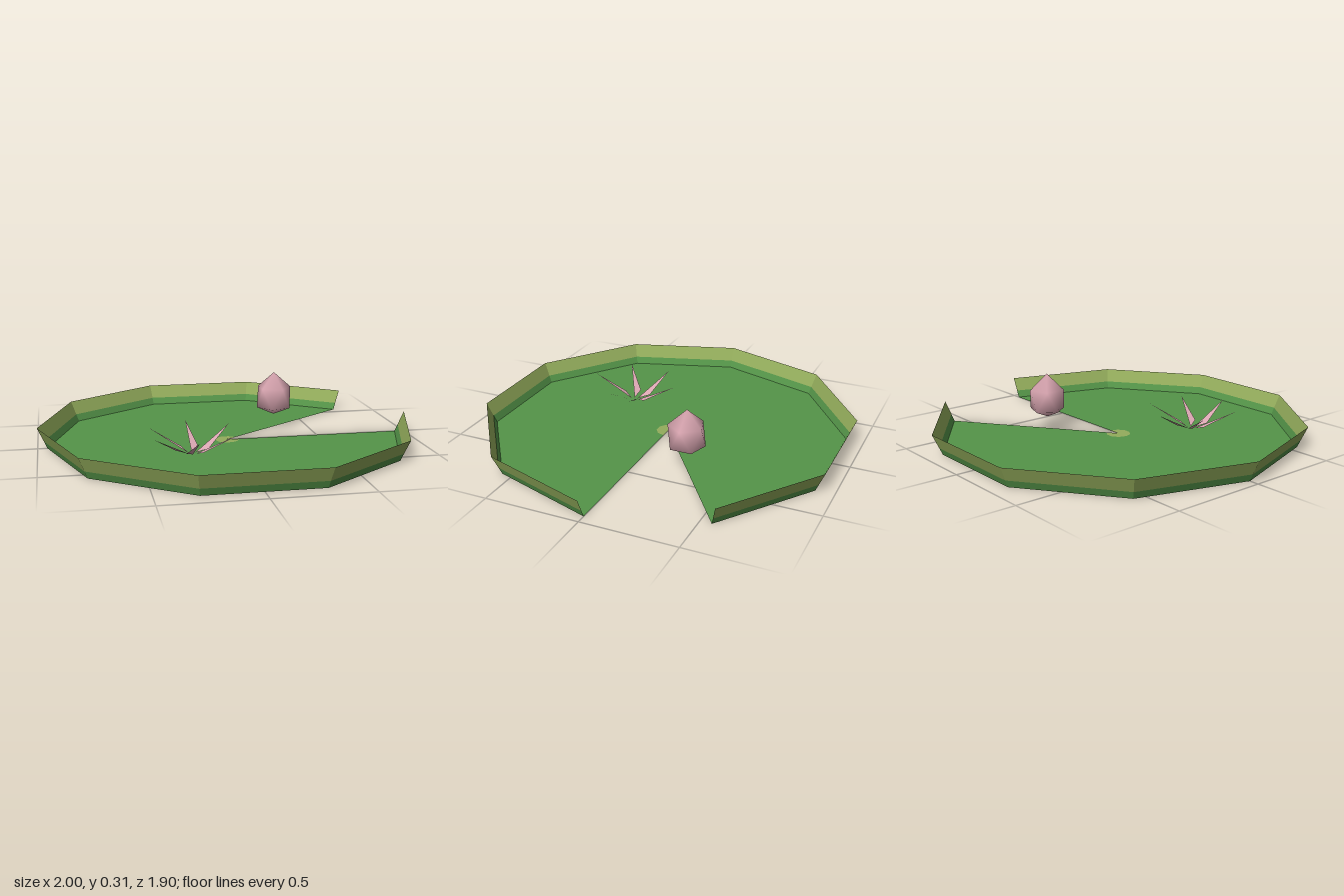
import * as THREE from 'three';

const material = (name, color) =>
  new THREE.MeshStandardMaterial({ name, color, side: THREE.DoubleSide });

const NOTCH = Math.PI / 5; // one of ten sectors is missing
const SWEEP = Math.PI * 2 - NOTCH;

function mesh(name, geometry, mat) {
  const m = new THREE.Mesh(geometry, mat);
  m.name = name;
  return m;
}

// Flared, faceted band of the rim between two heights
function rimBand(y0, r0, y1, r1) {
  const band = new THREE.CylinderGeometry(
    r1, r0, y1 - y0, 9, 1, true, Math.PI / 2 + NOTCH, SWEEP
  ).toNonIndexed();
  band.computeVertexNormals();
  return band.translate(0, (y0 + y1) / 2, 0);
}

// Bud: two offset pentagon rings closed by a tip above and below
function budGeometry() {
  const points = [0, 0.31, 0, 0, 0.07, 0];
  const ring = (y, turn) => {
    for (let i = 0; i < 5; i++) {
      const a = (i * 2 * Math.PI) / 5 + turn;
      points.push(0.096 * Math.cos(a), y, -0.096 * Math.sin(a));
    }
  };
  ring(0.225, 0);
  ring(0.112, Math.PI / 5);
  const index = [];
  for (let i = 0; i < 5; i++) {
    const n = (i + 1) % 5;
    const u = 2 + i, un = 2 + n, l = 7 + i, ln = 7 + n;
    index.push(0, u, un, u, l, un, un, l, ln, 1, ln, l);
  }
  const g = new THREE.BufferGeometry();
  g.setAttribute('position', new THREE.Float32BufferAttribute(points, 3));
  g.setIndex(index);
  g.computeVertexNormals();
  return g;
}

// Petal: one slim rising triangle pointing to -z
function petalGeometry() {
  const g = new THREE.BufferGeometry();
  g.setAttribute('position', new THREE.Float32BufferAttribute(
    [0, 0.025, -0.02, 0.04, 0.045, -0.075, 0, 0.14, -0.243], 3));
  g.computeVertexNormals();
  return g;
}

export function createModel() {
  const green = material('leaf green', 0x559549);
  const olive = material('rim olive', 0x94ad5c);
  const pink = material('blossom pink', 0xd8a5b0);
  const model = new THREE.Group();
  model.name = 'lilyPad';

  // Leaf floor with a pale heart
  const floor = new THREE.RingGeometry(0.065, 0.95, 9, 1, NOTCH, SWEEP).rotateX(-Math.PI / 2);
  const heart = new THREE.CircleGeometry(0.065, 9, NOTCH, SWEEP).rotateX(-Math.PI / 2);
  model.add(mesh('leafFloor', floor, green), mesh('leafHeart', heart, olive));

  // Upturned rim in two colours
  model.add(
    mesh('lowerRim', rimBand(0, 0.95, 0.038, 0.967), green),
    mesh('upperRim', rimBand(0.038, 0.967, 0.11, 1), olive)
  );

  // Bud standing in the notch
  const bud = mesh('bud', budGeometry(), pink);
  bud.position.set(0.314, 0, -0.24);
  model.add(bud);

  // Open flower with six petals
  const flower = new THREE.Group();
  flower.name = 'flower';
  flower.position.set(-0.238, 0, 0.317);
  const petal = petalGeometry();
  for (let i = 0; i < 6; i++) {
    const p = mesh('petal', petal, pink);
    p.rotation.y = (i * Math.PI) / 3;
    flower.add(p);
  }
  model.add(flower);

  return model;
}
